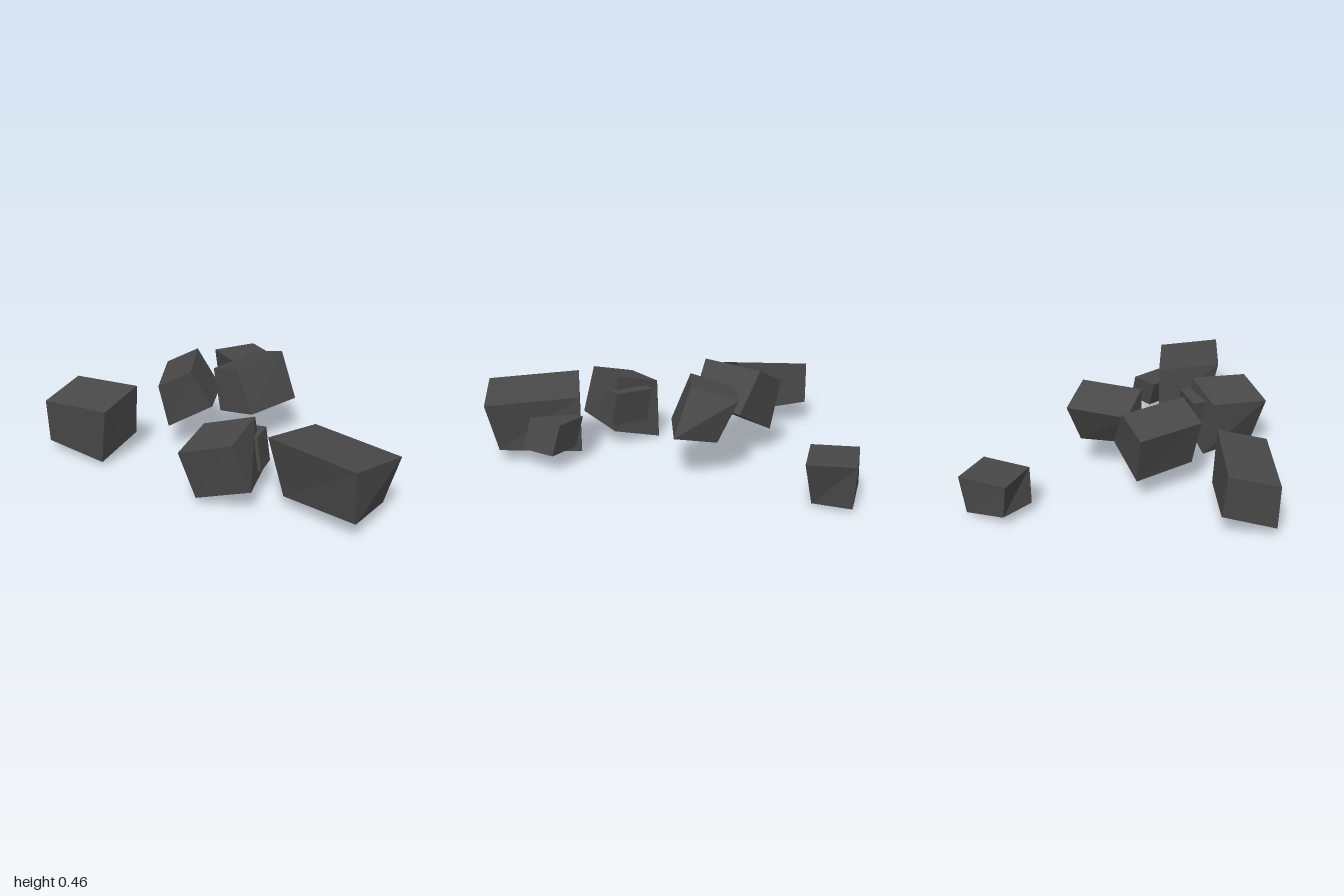
import * as THREE from 'three';

// The four corners of a slanted face: its centre plus and minus two half diagonals.
function corners([x, y, z], p, q) {
  const centre = new THREE.Vector3(x, y, z);
  const a = new THREE.Vector3(...p);
  const b = new THREE.Vector3(...q);
  return [
    centre.clone().sub(a),
    centre.clone().sub(b),
    centre.clone().add(a),
    centre.clone().add(b),
  ];
}

// A rough six-sided stone: top and base faces, joined by four sides.
// A base without diagonals of its own repeats those of the top.
function stone(name, material, [topCentre, p, q], [baseCentre, baseP = p, baseQ = q]) {
  const t = corners(topCentre, p, q);
  const b = corners(baseCentre, baseP, baseQ);
  const points = [];
  const quad = (i, j, k, l) => points.push(i, j, k, i, k, l);
  quad(t[3], t[2], t[1], t[0]);
  quad(b[0], b[1], b[2], b[3]);
  for (let i = 0; i < 4; i++) {
    const j = (i + 1) % 4;
    quad(t[i], t[j], b[j], b[i]);
  }
  const geometry = new THREE.BufferGeometry().setFromPoints(points);
  geometry.computeVertexNormals();
  const mesh = new THREE.Mesh(geometry, material);
  mesh.name = name;
  return mesh;
}

export function createModel() {
  const group = new THREE.Group();
  group.name = 'stonePile';
  const dark = new THREE.MeshStandardMaterial({ color: 0x484848 });
  dark.name = 'darkStone';

  group.add(
    // stone on the model's right
    stone('sideStone', dark,
      [[-0.57, 0.33, -0.02], [0.235, 0.05, 0.04], [0.075, -0.01, 0.225]],
      [[-0.57, 0.08, -0.04], [0.225, 0.025, 0.02], [0.05, -0.045, 0.215]]),
    // lone stone at the back
    stone('backStone', dark,
      [[0.315, 0.225, -0.85], [0.167, 0, 0.055], [-0.08, 0, 0.15]],
      [[0.29, 0.04, -0.855], [0.12, -0.02, 0.06], [-0.095, 0.015, 0.125]]),
    // tilted pair in the middle
    stone('middleStone', dark,
      [[-0.115, 0.415, -0.14], [0.112, 0.04, -0.163], [0.05, 0.042, 0.195]],
      [[-0.03, 0.198, -0.125], [0.147, 0.053, -0.132], [0.075, 0.072, 0.183]]),
    stone('leaningStone', dark,
      [[0.255, 0.424, -0.193], [0.18, 0.048, 0.01], [-0.08, 0.02, 0.185]],
      [[0.304, 0.202, -0.108], [0.203, 0.02, -0.022], [-0.055, 0.015, 0.168]]),
    // front stone and the small one tucked behind it
    stone('frontStone', dark,
      [[0.027, 0.331, 0.514], [0.187, 0.04, -0.095], [0.047, 0.025, 0.178]],
      [[0.091, 0.066, 0.501], [0.17, 0.02, -0.09], [0.073, 0.057, 0.198]]),
    stone('smallInnerStone', dark,
      [[0.15, 0.298, 0.398], [0.125, 0, -0.02], [0.065, 0.005, 0.105]],
      [[0.169, 0.132, 0.424]]),
    // largest stone and its small neighbour
    stone('largeStone', dark,
      [[0.53, 0.345, 0.713], [0.29, -0.032, 0.055], [0.03, 0.015, 0.277]],
      [[0.54, 0.073, 0.7], [0.22, 0, 0.045], [0.04, 0.025, 0.265]]),
    stone('smallOuterStone', dark,
      [[0.595, 0.241, 0.507], [0.085, 0, -0.095], [0.08, 0, 0.1]],
      [[0.645, 0.095, 0.52]]),
  );
  return group;
}
